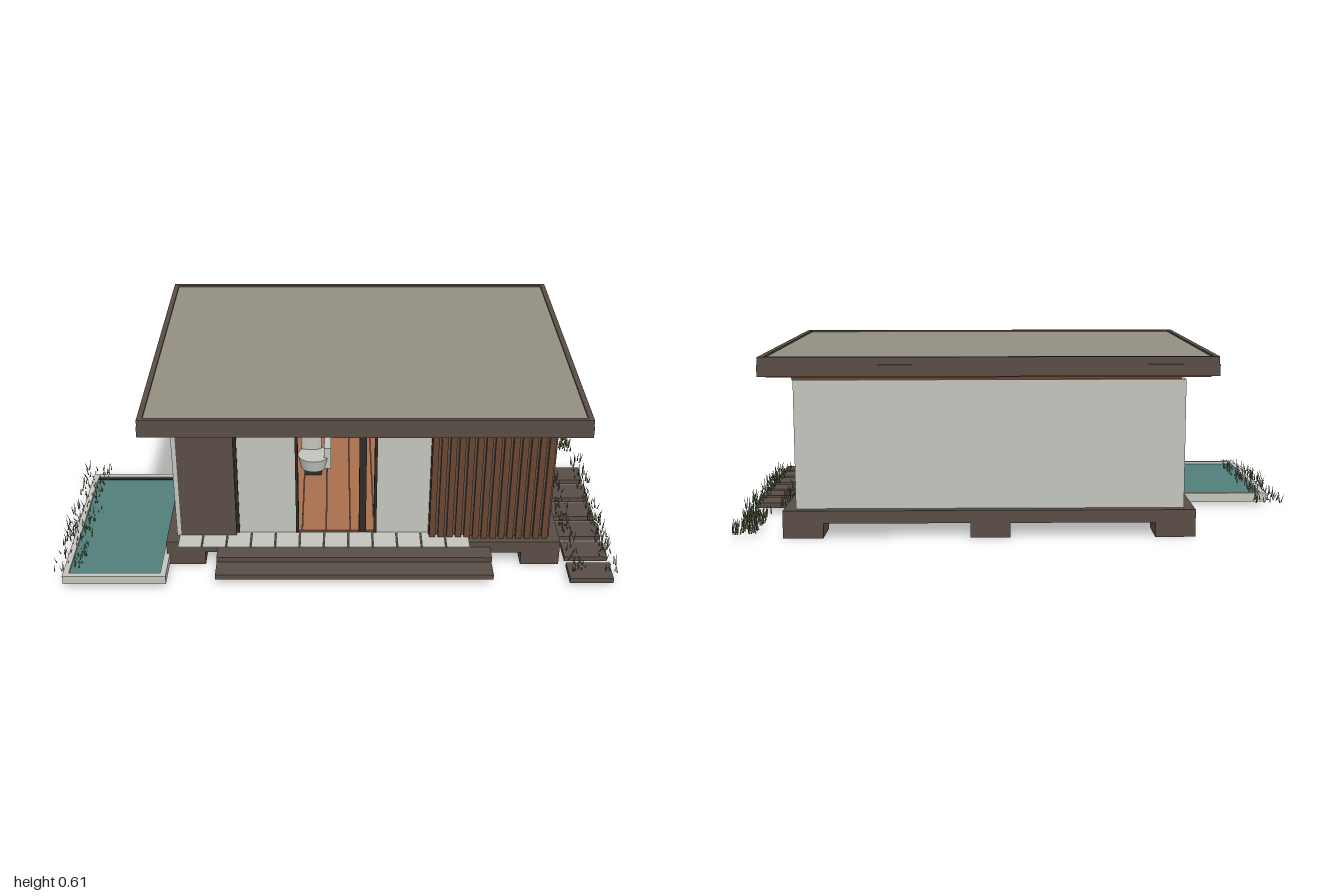
import * as THREE from 'three';

const mat = (name, color, extra = {}) => {
  const m = new THREE.MeshStandardMaterial({ color, ...extra });
  m.name = name;
  return m;
};

export function createModel() {
  const dark = mat('dark timber', 0x5a4e46);
  const black = mat('black frame', 0x2f2a27);
  const roofGrey = mat('roof grey', 0x938f82);
  const pale = mat('pale panel', 0xc4c5be);
  const slatWood = mat('slat wood', 0x6a4531);
  const floorWood = mat('floor wood', 0xa96f4e);
  const water = mat('water', 0x527f7b);
  const green = mat('grass', 0x596343, { side: THREE.DoubleSide });

  const model = new THREE.Group();
  model.name = 'gardenPavilion';

  // Box given by its limits on each axis
  const box = (name, m, x0, x1, y0, y1, z0, z1, parent = model) => {
    const mesh = new THREE.Mesh(new THREE.BoxGeometry(x1 - x0, y1 - y0, z1 - z0), m);
    mesh.position.set((x0 + x1) / 2, (y0 + y1) / 2, (z0 + z1) / 2);
    mesh.name = name;
    parent.add(mesh);
    return mesh;
  };
  // Rectangular ring lying flat, with border width w
  const ring = (name, m, x0, x1, y0, y1, z0, z1, w) => {
    const g = new THREE.Group();
    g.name = name;
    box('frontEdge', m, x0, x1, y0, y1, z1 - w, z1, g);
    box('backEdge', m, x0, x1, y0, y1, z0, z0 + w, g);
    box('rightEdge', m, x0, x0 + w, y0, y1, z0 + w, z1 - w, g);
    box('leftEdge', m, x1 - w, x1, y0, y1, z0 + w, z1 - w, g);
    model.add(g);
  };

  // Base platform, footings and steps
  box('platform', dark, -0.6, 0.78, 0.05, 0.093, -0.55, 0.47);
  for (const [z0, z1] of [[-0.55, -0.415], [0.335, 0.47]])
    for (const x of [-0.6, 0.02, 0.645]) box('footing', dark, x, x + 0.135, 0, 0.05, z0, z1);
  box('upperStep', dark, -0.42, 0.535, 0.055, 0.073, 0.455, 0.535);
  box('lowerStep', dark, -0.42, 0.535, 0.032, 0.05, 0.49, 0.605);

  // Paving strip in front of the glass
  for (let i = 0; i < 12; i++) {
    const x = -0.555 + i * 0.085;
    box('pavingTile', pale, x, x + 0.08, 0.092, 0.098, 0.415, 0.505);
  }

  // Roof: fascia in two layers, recessed top and timber soffit
  ring('lowerFascia', dark, -0.66, 0.84, 0.55, 0.588, -0.61, 0.53, 0.025);
  ring('upperFascia', dark, -0.658, 0.838, 0.588, 0.613, -0.608, 0.528, 0.018);
  box('roofTop', roofGrey, -0.645, 0.825, 0.59, 0.607, -0.595, 0.515);
  box('soffit', slatWood, -0.635, 0.815, 0.544, 0.56, -0.585, 0.507);
  box('wallBeam', slatWood, -0.55, 0.745, 0.526, 0.546, -0.508, 0.43);
  box('frontBeam', dark, -0.57, 0.75, 0.53, 0.546, 0.425, 0.437);

  // Side and back walls
  const y0 = 0.093, y1 = 0.528;
  box('backWall', pale, -0.56, 0.74, y0, y1, -0.515, -0.503);
  box('rightWall', pale, -0.565, -0.55, y0, y1, -0.515, 0.43);
  box('leftWall', pale, 0.728, 0.74, y0, y1, -0.503, 0.402);
  for (const z of [0.145, -0.12]) box('sideMullion', black, 0.726, 0.744, y0, y1, z - 0.004, z + 0.004);
  box('sideTopRail', black, 0.727, 0.743, 0.522, 0.53, -0.5, 0.402);
  box('sideBottomRail', black, 0.727, 0.743, y0, 0.099, -0.5, 0.402);
  box('cornerPost', dark, 0.715, 0.744, y0, y1, 0.402, 0.432);

  // Front wall with its open sliding door
  box('solidFrontPanel', dark, -0.55, -0.355, y0, y1, 0.395, 0.432);
  box('frontGlass', pale, -0.346, -0.145, y0, y1, 0.402, 0.412);
  box('frontGlass', pale, 0.135, 0.325, y0, y1, 0.402, 0.412);
  for (const x of [-0.35, -0.141, 0.132])
    box('frontMullion', black, x - 0.005, x + 0.005, y0, y1, 0.396, 0.418);
  box('doorPost', black, 0.075, 0.1, y0, y1, 0.385, 0.415);
  box('frontTopRail', black, -0.355, 0.325, 0.522, 0.53, 0.396, 0.418);

  // Vertical slat screen
  box('slatBacking', dark, 0.32, 0.742, y0, y1, 0.405, 0.43);
  for (let i = 0; i < 14; i++) {
    const x = 0.322 + i * 0.0303;
    box('slat', slatWood, x, x + 0.021, y0, y1, 0.43, 0.446);
  }

  // Interior floorboards
  for (let i = 0; i < 15; i++) {
    const x = -0.549 + i * 0.085;
    box('floorBoard', floorWood, x, x + 0.083, 0.09, 0.097, -0.503, 0.4);
  }

  // Hanging lamp
  const lamp = new THREE.Group();
  lamp.name = 'pendantLamp';
  lamp.position.set(0.035, 0, 0);
  const shade = new THREE.Mesh(new THREE.CylinderGeometry(0.035, 0.065, 0.03, 24), floorWood);
  shade.position.y = 0.432;
  const cord = new THREE.Mesh(new THREE.CylinderGeometry(0.002, 0.002, 0.08, 6), black);
  cord.position.y = 0.487;
  shade.name = 'shade';
  cord.name = 'cord';
  lamp.add(shade, cord);
  model.add(lamp);

  // Armchair and wall mirror
  const chair = new THREE.Group();
  chair.name = 'armchair';
  model.add(chair);
  const seat = new THREE.Mesh(new THREE.CylinderGeometry(0.06, 0.05, 0.05, 24), pale);
  seat.position.set(-0.09, 0.147, 0.0);
  seat.name = 'seat';
  const back = new THREE.Mesh(new THREE.CapsuleGeometry(0.04, 0.045, 6, 16), pale);
  back.scale.z = 0.45;
  back.position.set(-0.1, 0.2, -0.05);
  back.name = 'chairBack';
  chair.add(seat, back);
  box('armrest', pale, -0.05, -0.025, 0.125, 0.215, -0.05, 0.03, chair);
  box('chairBase', black, -0.12, -0.06, 0.097, 0.123, -0.03, 0.03, chair);
  box('mirrorFrame', floorWood, -0.19, -0.11, 0.26, 0.45, -0.503, -0.495);
  box('mirror', pale, -0.183, -0.117, 0.267, 0.443, -0.495, -0.492);

  // Pool
  ring('poolRim', pale, -0.945, -0.59, 0.012, 0.045, -0.06, 0.605, 0.02);
  box('poolBase', black, -0.93, -0.605, 0.013, 0.03, -0.045, 0.59);
  box('poolLining', black, -0.925, -0.61, 0.03, 0.042, -0.04, -0.03);
  box('waterSurface', water, -0.925, -0.61, 0.03, 0.036, -0.03, 0.577);

  // Stepping stones
  for (let i = 0; i < 6; i++) {
    const z = -0.135 + i * 0.1275;
    box('steppingStone', dark, 0.8, 0.95, 0.012, 0.03, z, z + 0.095);
  }

  // Grass blades: slim triangles set across the x direction
  let seed = 7;
  const rnd = () => (seed = (seed * 16807) % 2147483647) / 2147483647;
  const grass = (name, count, xa, xb, za, zb) => {
    const p = [];
    for (let i = 0; i < count; i++) {
      const x = xa + rnd() * (xb - xa), z = za + rnd() * (zb - za);
      const h = 0.02 + rnd() * 0.033, w = 0.0025;
      const lx = (rnd() - 0.5) * 0.025, lz = (rnd() - 0.5) * 0.02;
      p.push(x - w, 0.022, z, x + w, 0.022, z, x + lx, 0.022 + h, z + lz);
    }
    const g = new THREE.BufferGeometry();
    g.setAttribute('position', new THREE.Float32BufferAttribute(p, 3));
    g.computeVertexNormals();
    const mesh = new THREE.Mesh(g, green);
    mesh.name = name;
    model.add(mesh);
  };
  grass('poolGrass', 190, -0.985, -0.885, -0.13, 0.55);
  grass('backGrass', 150, 0.865, 0.945, -0.59, -0.27);
  grass('pathGrassInner', 90, 0.81, 0.86, -0.2, 0.56);
  grass('pathGrassOuter', 120, 0.925, 0.975, -0.2, 0.56);

  return model;
}
